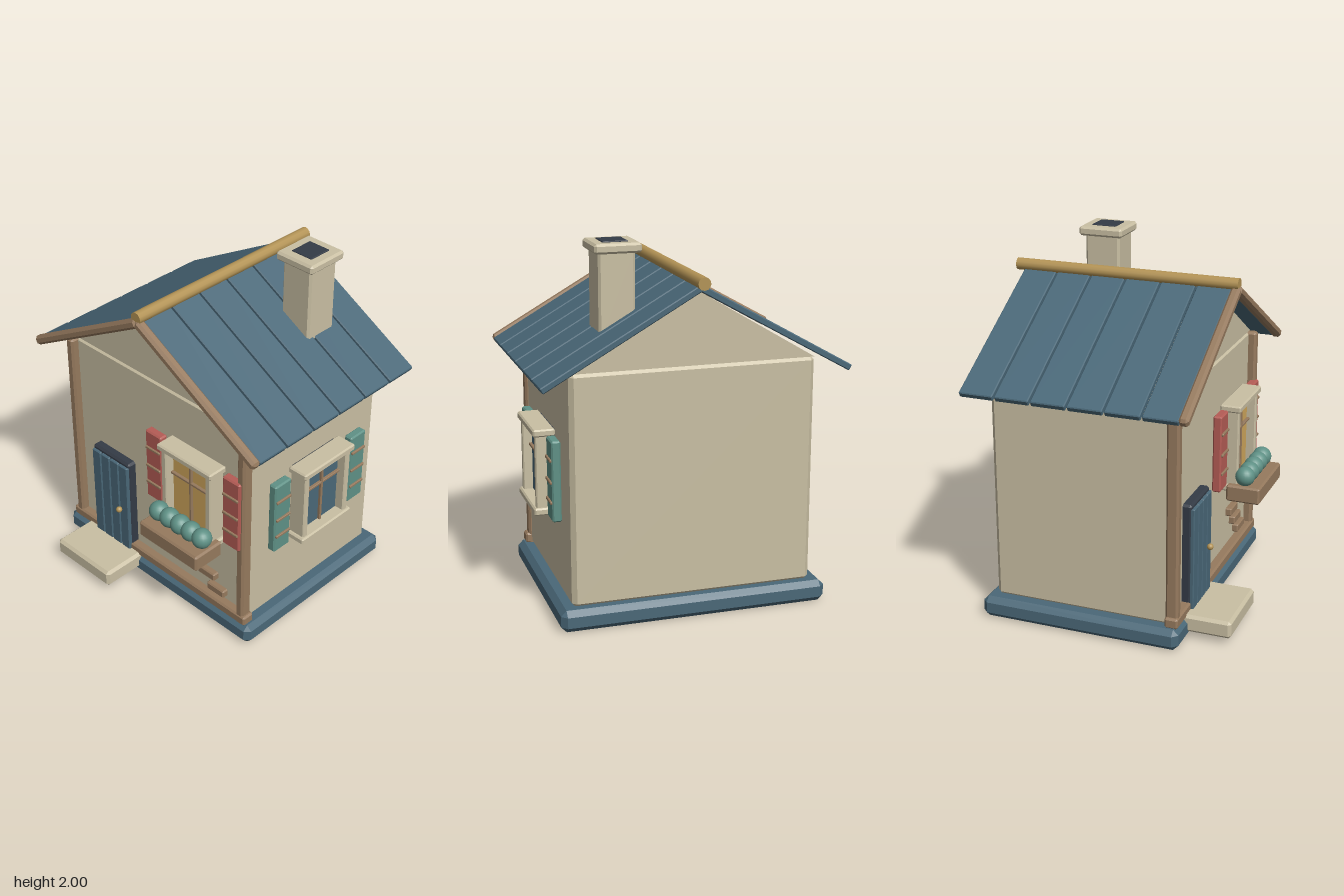
import * as THREE from 'three';
import { ConvexGeometry } from 'three/addons/geometries/ConvexGeometry.js';

const mat = (name, color, side = THREE.FrontSide) => {
  const m = new THREE.MeshStandardMaterial({ color, side });
  m.name = name;
  return m;
};

const M = {
  plaster: mat('plaster', 0xc9bfa3),
  blue: mat('slateBlue', 0x4a6878),
  wood: mat('wood', 0x967a5e),
  gold: mat('goldenWood', 0xb39355),
  red: mat('shutterRed', 0xb55c55),
  green: mat('leafGreen', 0x5f9186),
  glow: mat('warmGlass', 0xd0a75c),
  dark: mat('darkTrim', 0x343b46),
};

// Box with 45 degree bevels on every edge
function bevelBox(w, h, d, c) {
  const pts = [];
  const X = w / 2, Y = h / 2, Z = d / 2;
  for (const i of [-1, 1]) for (const j of [-1, 1]) for (const k of [-1, 1]) {
    pts.push(
      new THREE.Vector3(i * X, j * (Y - c), k * (Z - c)),
      new THREE.Vector3(i * (X - c), j * Y, k * (Z - c)),
      new THREE.Vector3(i * (X - c), j * (Y - c), k * Z));
  }
  return new ConvexGeometry(pts);
}

function add(parent, name, geometry, material, x = 0, y = 0, z = 0) {
  const mesh = new THREE.Mesh(geometry, material);
  mesh.name = name;
  mesh.position.set(x, y, z);
  parent.add(mesh);
  return mesh;
}

// Bevelled block given by its min and max on each axis
function block(parent, name, material, [x0, x1], [y0, y1], [z0, z1], c = 0.006) {
  return add(parent, name, bevelBox(x1 - x0, y1 - y0, z1 - z0, c), material,
    (x0 + x1) / 2, (y0 + y1) / 2, (z0 + z1) / 2);
}

// Window with shutters, facing +z, with the wall at z = 0 and the sill at y = 0
function makeWindow(name, height, glass, shutterMaterial, shutterX, shutterY) {
  const g = new THREE.Group();
  g.name = name;
  block(g, 'windowRecess', M.dark, [-0.17, 0.17], [0.01, height - 0.01], [-0.02, 0.045]);
  block(g, 'glass', glass, [-0.143, 0.143], [0.04, height - 0.045], [0.03, 0.054], 0.003);
  block(g, 'mullion', M.wood, [-0.008, 0.008], [0.04, height - 0.04], [0.04, 0.07], 0.003);
  const barY = height * 0.63;
  block(g, 'glazingBar', M.wood, [-0.145, 0.145], [barY - 0.008, barY + 0.008], [0.04, 0.07], 0.003);
  block(g, 'lintel', M.plaster, [-0.2, 0.2], [height - 0.04, height], [0, 0.12], 0.008);
  block(g, 'sill', M.plaster, [-0.2, 0.2], [0, 0.04], [0, 0.12], 0.008);
  for (const s of [-1, 1]) {
    const jamb = block(g, 'jamb', M.plaster, [0.145, 0.182], [0.02, height - 0.02], [0, 0.105]);
    jamb.position.x *= s;
    const shutter = new THREE.Group();
    shutter.name = 'shutter';
    shutter.position.x = s * shutterX;
    const [y0, y1] = shutterY;
    block(shutter, 'shutterPanel', shutterMaterial, [-0.061, 0.061], [y0, y1], [0.01, 0.06], 0.008);
    for (const t of [0.24, 0.49, 0.76]) {
      const y = y0 + (y1 - y0) * t;
      block(shutter, 'shutterBar', M.wood, [-0.054, 0.054], [y - 0.008, y + 0.008], [0.05, 0.07], 0.003);
    }
    g.add(shutter);
  }
  return g;
}

export function createModel() {
  const house = new THREE.Group();
  house.name = 'cottage';

  // Foundation, walls and front timbers
  block(house, 'foundation', M.blue, [-0.737, 0.737], [0, 0.12], [-0.65, 0.485], 0.03);
  block(house, 'walls', M.plaster, [-0.665, 0.665], [0.11, 1.375], [-0.59, 0.425], 0.024);
  block(house, 'sillBeam', M.wood, [-0.7, 0.7], [0.115, 0.175], [0.4, 0.475], 0.01);
  for (const s of [-1, 1]) {
    const post = block(house, 'cornerPost', M.wood, [0.627, 0.682], [0.105, 1.365], [0.4, 0.47], 0.012);
    post.position.x *= s;
  }

  // Gable ends
  const tri = new THREE.Shape([[-0.66, 1.37], [0.66, 1.37], [0, 1.765]].map(p => new THREE.Vector2(...p)));
  for (const z of [-0.588, 0.383]) {
    add(house, 'gable', new THREE.ExtrudeGeometry(tri, { depth: 0.04, bevelEnabled: false }), M.plaster, 0, 0, z);
  }

  // Roof: six boards a side, with bargeboards at the front
  const angle = Math.atan(0.565);
  for (const s of [-1, 1]) {
    const slope = new THREE.Group();
    slope.name = s > 0 ? 'leftRoofSlope' : 'rightRoofSlope';
    slope.position.y = 1.785;
    slope.rotation.z = -s * angle;
    for (let i = 0; i < 6; i++) {
      const z = 0.422 - i * 0.2015;
      add(slope, 'roofBoard', bevelBox(0.95, 0.034, 0.19, 0.005), M.blue, s * 0.475, 0, z);
    }
    add(slope, 'bargeboard', bevelBox(0.955, 0.052, 0.054, 0.014), M.wood, s * 0.4725, 0, 0.54);
    house.add(slope);
  }
  const ridge = add(house, 'ridgePole', new THREE.CylinderGeometry(0.034, 0.034, 1.28, 12), M.gold, 0, 1.815, -0.085);
  ridge.rotation.x = Math.PI / 2;

  // Chimney
  block(house, 'chimneyStack', M.plaster, [0.272, 0.466], [1.5, 1.955], [-0.437, -0.235], 0.012);
  block(house, 'chimneyCap', M.plaster, [0.242, 0.492], [1.942, 1.994], [-0.466, -0.21], 0.012);
  block(house, 'flue', M.dark, [0.302, 0.436], [1.95, 2.0], [-0.408, -0.268], 0.003);

  // Door and step
  block(house, 'doorFrame', M.dark, [-0.492, -0.193], [0.12, 0.74], [0.4, 0.475], 0.012);
  for (let i = 0; i < 4; i++) {
    const x = -0.485 + i * 0.0725;
    block(house, 'doorPlank', M.blue, [x, x + 0.068], [0.125, 0.717], [0.45, 0.49], 0.005);
  }
  add(house, 'doorKnob', new THREE.SphereGeometry(0.018, 16, 12), M.gold, -0.258, 0.408, 0.505);
  block(house, 'doorstep', M.plaster, [-0.565, -0.127], [0.038, 0.137], [0.44, 0.725], 0.016);

  // Windows
  const front = makeWindow('frontWindow', 0.51, M.glow, M.red, 0.289, [0.05, 0.495]);
  front.position.set(0.313, 0.582, 0.425);
  const side = makeWindow('sideWindow', 0.475, M.blue, M.green, 0.302, [0.015, 0.455]);
  side.position.set(0.67, 0.53, -0.083);
  side.rotation.y = Math.PI / 2;
  house.add(front, side);

  // Flower box
  block(house, 'flowerBox', M.wood, [0.095, 0.532], [0.53, 0.627], [0.475, 0.67], 0.01);
  for (let i = 0; i < 5; i++) {
    add(house, 'shrub', new THREE.SphereGeometry(0.056, 20, 14), M.green, 0.15 + i * 0.0815, 0.673, 0.57);
  }

  // Exposed bricks
  for (const [x, y] of [[0.325, 0.383], [0.393, 0.304], [0.464, 0.224]]) {
    block(house, 'brick', M.wood, [x - 0.064, x + 0.064], [y - 0.024, y + 0.024], [0.41, 0.46], 0.007);
  }

  return house;
}
